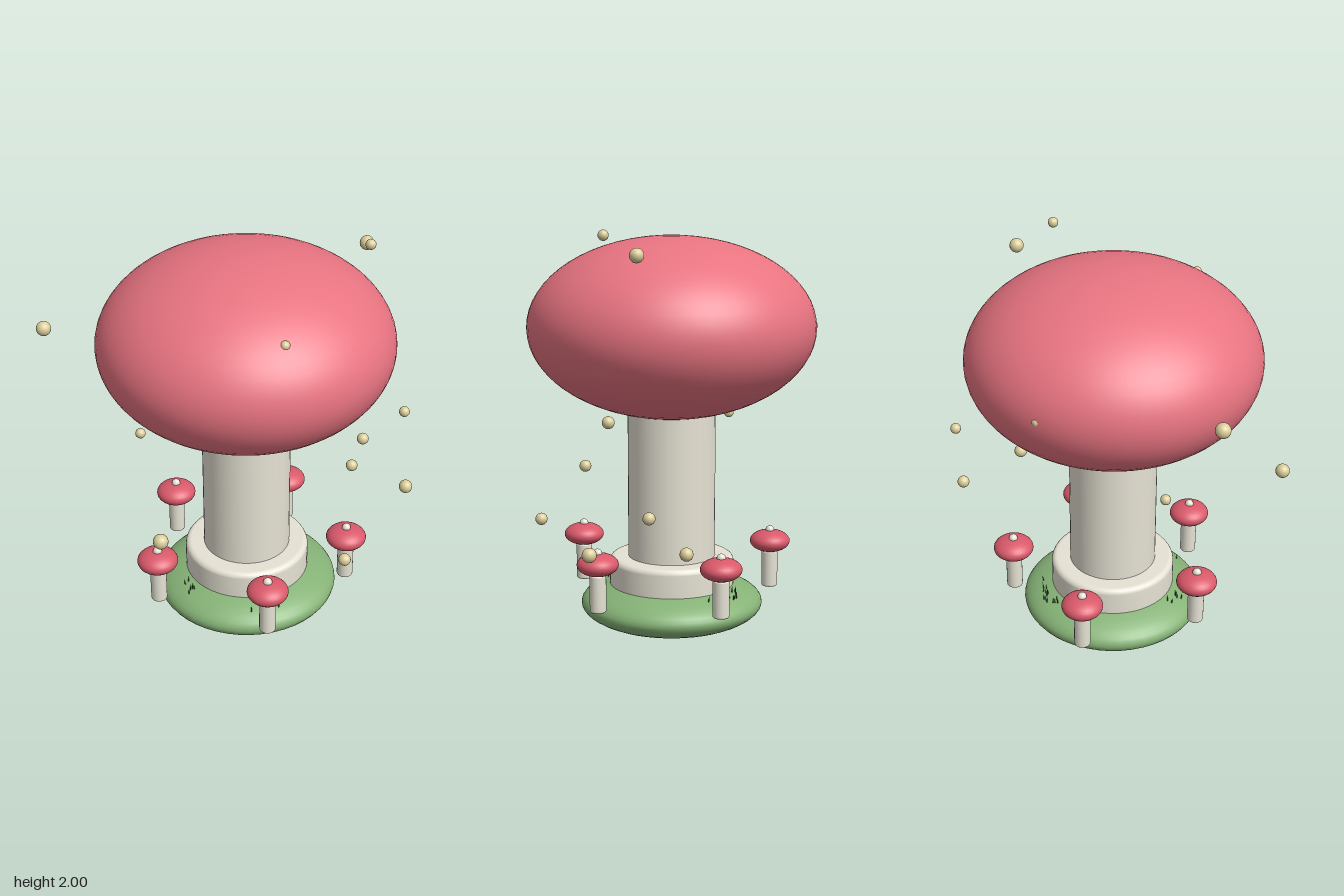
import * as THREE from 'three';

const mat = (color) => new THREE.MeshStandardMaterial({ color });
const materials = {
  cap: mat(0xe87481),
  smallCap: mat(0xd9596a),
  stem: mat(0xe6e2d4),
  mound: mat(0x86b377),
  blade: mat(0x3f5f38),
  spore: mat(0xdccf9c),
};

function addMesh(parent, name, geometry, material, x, y, z) {
  const mesh = new THREE.Mesh(geometry, material);
  mesh.name = name;
  mesh.position.set(x, y, z);
  parent.add(mesh);
  return mesh;
}

// Sphere squashed in height
const ellipsoid = (r, h, seg = 32) => new THREE.SphereGeometry(r, seg, seg / 2).scale(1, h / r, 1);

// Upright cylinder with rounded rims, base at y = 0
function roundedCylinder(r, h, bevel, seg) {
  const points = [new THREE.Vector2(0, 0)];
  for (let i = 0; i <= 4; i++) {
    const a = (i / 4) * Math.PI / 2;
    points.push(new THREE.Vector2(r - bevel + bevel * Math.sin(a), bevel - bevel * Math.cos(a)));
  }
  for (let i = 0; i <= 4; i++) {
    const a = (i / 4) * Math.PI / 2;
    points.push(new THREE.Vector2(r - bevel + bevel * Math.cos(a), h - bevel + bevel * Math.sin(a)));
  }
  points.push(new THREE.Vector2(0, h));
  return new THREE.LatheGeometry(points, seg);
}

function seeded(seed) {
  return () => {
    seed = (seed * 16807) % 2147483647;
    return seed / 2147483647;
  };
}

export function createModel() {
  const model = new THREE.Group();
  model.name = 'mushroomTree';

  // Everything but the spores stands around this axis
  const tree = new THREE.Group();
  tree.name = 'tree';
  tree.position.x = -0.07;
  model.add(tree);

  // Ground, base, stem and big cap
  const moundR = 0.45, moundH = 0.135, moundY = 0.138;
  addMesh(tree, 'grassMound', ellipsoid(moundR, moundH, 48), materials.mound, 0, moundY, 0);
  addMesh(tree, 'stemBase', roundedCylinder(0.308, 0.205, 0.028, 48), materials.stem, 0, 0.17, 0);
  addMesh(tree, 'stem', new THREE.CylinderGeometry(0.215, 0.215, 0.9, 48), materials.stem, 0, 0.75, 0);
  addMesh(tree, 'bigCap', ellipsoid(0.7, 0.44, 64), materials.cap, 0, 1.51, 0);

  // Ring of five small mushrooms
  const smallStem = roundedCylinder(0.04, 0.185, 0.01, 20);
  const smallCap = ellipsoid(0.1, 0.055, 32);
  const knob = new THREE.SphereGeometry(0.022, 16, 12);
  for (let i = 0; i < 5; i++) {
    const a = Math.PI + (i * Math.PI * 2) / 5;
    const mushroom = new THREE.Group();
    mushroom.name = 'smallMushroom';
    mushroom.position.set(0.5 * Math.sin(a), 0.188, 0.5 * Math.cos(a));
    addMesh(mushroom, 'smallStem', smallStem, materials.stem, 0, 0, 0);
    addMesh(mushroom, 'smallCap', smallCap, materials.smallCap, 0, 0.234, 0);
    addMesh(mushroom, 'capKnob', knob, materials.stem, 0, 0.289, 0);
    tree.add(mushroom);
  }

  // Tufts of grass: centre angle, angular spread, blade count
  const random = seeded(7);
  const blade = new THREE.ConeGeometry(0.004, 0.045, 5);
  const tufts = [[-0.57, 0.2, 10], [2.2, 0.32, 14], [-1.78, 0.12, 6]];
  for (const [angle, spread, count] of tufts) {
    for (let i = 0; i < count; i++) {
      const a = angle + (random() * 2 - 1) * spread;
      const r = 0.335 + random() * 0.05;
      const y = moundY + moundH * Math.sqrt(1 - (r / moundR) ** 2);
      const mesh = addMesh(tree, 'grassBlade', blade, materials.blade, r * Math.sin(a), y + 0.014, r * Math.cos(a));
      mesh.rotation.set((random() - 0.5) * 0.3, 0, (random() - 0.5) * 0.3);
    }
  }

  // Floating spores: x, y, z, radius
  const spores = [
    [0.35, 1.975, 0.38, 0.025], [0.49, 1.893, 0.25, 0.034],
    [-0.34, 1.775, 0.475, 0.022], [-0.738, 1.61, -0.64, 0.035],
    [-0.43, 1.016, -0.36, 0.025], [-0.866, 0.9, 0.214, 0.035],
    [0.183, 0.893, 0.453, 0.028], [0.866, 0.799, 0.256, 0.028],
    [-0.087, 0.577, 0.643, 0.03], [0.595, 0.573, 0.485, 0.034],
    [0.76, 0.603, 0.074, 0.031], [0.074, 1.52, -0.664, 0.025],
  ];
  for (const [x, y, z, r] of spores) {
    addMesh(model, 'spore', new THREE.SphereGeometry(r, 16, 12), materials.spore, x, y, z);
  }

  return model;
}
